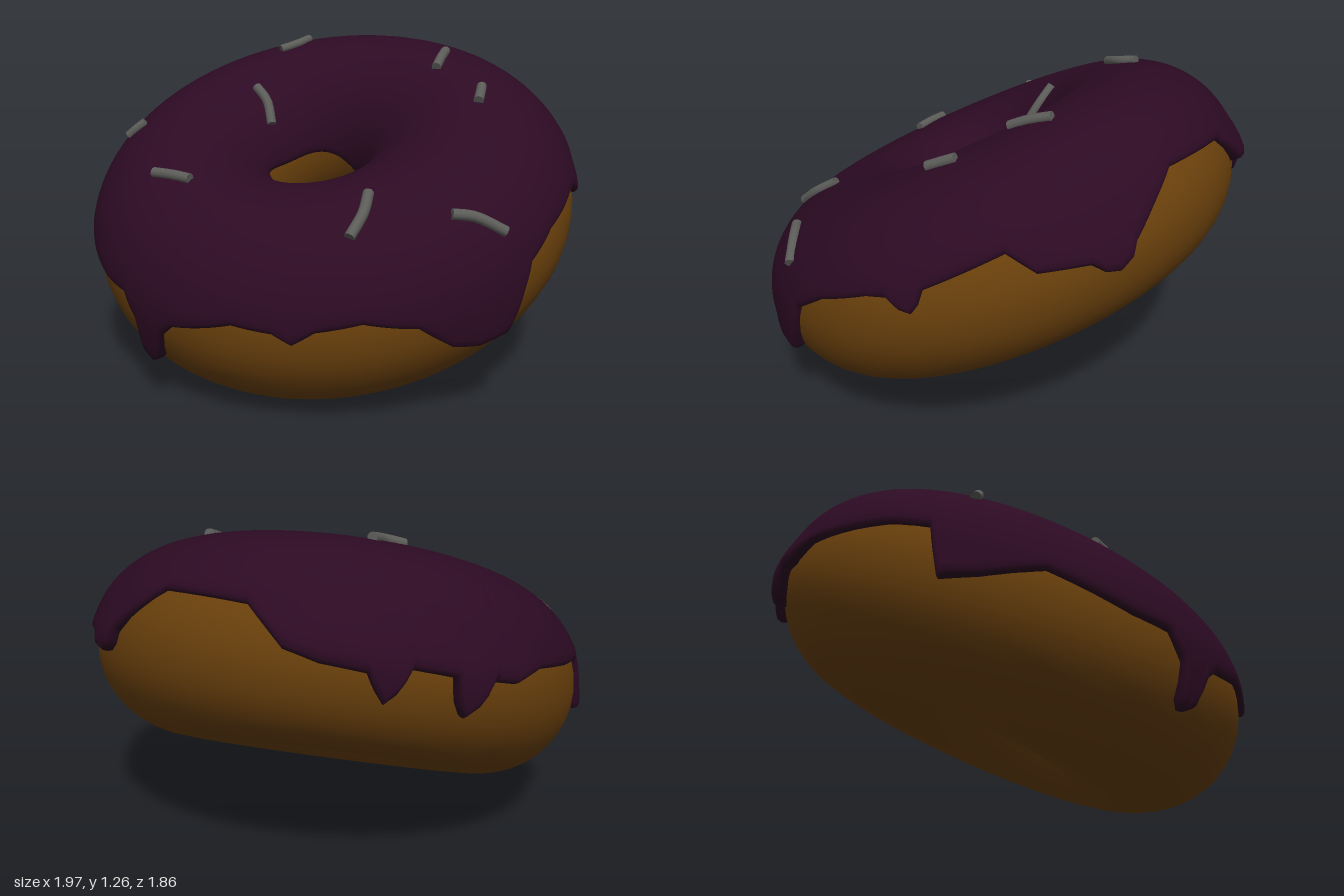
import * as THREE from 'three';
import { mergeGeometries } from 'three/addons/utils/BufferGeometryUtils.js';

const TILT = 0.445, CENTRE_Y = 0.615, HALF_HEIGHT = 0.365, GLAZE = 0.026;
const RAD = Math.PI / 180;

// Ring section at angle phi: middle radius c and half width a (hole slightly off centre)
function section(phi) {
  const outer = 0.967 - 0.02 * Math.cos(phi) - 0.011 * Math.sin(phi);
  const inner = 0.185 - 0.05 * Math.cos(phi) - 0.025 * Math.sin(phi);
  return { c: (outer + inner) / 2, a: (outer - inner) / 2 };
}

function ringPoint(phi, theta, offset) {
  const { c, a } = section(phi);
  const r = c + (a + offset) * Math.cos(theta);
  return [r * Math.cos(phi), (HALF_HEIGHT + offset) * Math.sin(theta), r * Math.sin(phi)];
}

// Surface closed around phi; rows run across the section
function ringSurface(nPhi, nRows, closedRows, point) {
  const pos = [], index = [];
  for (let i = 0; i < nPhi; i++) {
    const phi = (i / nPhi) * Math.PI * 2;
    for (let j = 0; j < nRows; j++) pos.push(...point(phi, j));
  }
  const id = (i, j) => (i % nPhi) * nRows + (j % nRows);
  for (let i = 0; i < nPhi; i++) {
    for (let j = 0; j < (closedRows ? nRows : nRows - 1); j++) {
      const a = id(i, j), b = id(i + 1, j), c = id(i + 1, j + 1), d = id(i, j + 1);
      index.push(a, d, b, b, d, c);
    }
  }
  const g = new THREE.BufferGeometry();
  g.setAttribute('position', new THREE.Float32BufferAttribute(pos, 3));
  g.setIndex(index);
  g.computeVertexNormals();
  return g;
}

// Height of the glaze's dripping outer edge: [degrees, height]
const EDGE = [
  [0, 0.11], [14, 0.125], [24, 0.1], [30, 0], [35, -0.075], [42, -0.06], [48, -0.01], [54, 0.1],
  [65, 0.16], [75, 0.155], [80, 0.12], [84, 0.155], [93, 0.17], [108, 0.11], [111, 0.06],
  [113, -0.06], [115, -0.085], [117, -0.06], [119, 0.06], [124, 0.13], [133, 0.11], [152, 0.11],
  [163, 0], [170, -0.05], [177, 0.12], [186, 0.1], [196, 0.05], [208, 0], [215, -0.07],
  [221, -0.08], [222.5, -0.16], [225, -0.2], [227.5, -0.16], [229, -0.09], [238, -0.09],
  [239.5, -0.16], [242, -0.2], [244.5, -0.16], [246, -0.12], [255, -0.11], [262, -0.08],
  [270, 0.05], [290, 0.09], [299, 0.01], [305, -0.05], [307, -0.09], [310, -0.11], [313, -0.09],
  [315, -0.05], [325, 0], [329, 0.095], [347, 0.08], [349, 0.04], [351, 0.02], [353, 0.04],
  [355, 0.09], [360, 0.11],
];
function edgeTheta(phi) {
  const d = phi / RAD;
  let k = 0;
  while (k < EDGE.length - 2 && EDGE[k + 1][0] <= d) k++;
  const [d0, h0] = EDGE[k], [d1, h1] = EDGE[k + 1];
  return Math.asin((h0 + ((h1 - h0) * (d - d0)) / (d1 - d0)) / HALF_HEIGHT);
}

// Rounded lip: share of lip width, share of thickness
const LIP = [[0, -0.4], [0.02, 0.3], [0.15, 0.65], [0.45, 0.9], [1, 1]];
const LIP_WIDTH = 0.11, MID = 28;
function glazePoint(phi, j) {
  const start = edgeTheta(phi);
  const end = Math.PI - 0.17 + 0.22 * Math.cos(phi + 0.35) + 0.05 * Math.sin(4 * phi);
  const rows = LIP.length * 2 + MID;
  let theta, share = 1;
  if (j < LIP.length) {
    theta = start + LIP[j][0] * LIP_WIDTH;
    share = LIP[j][1];
  } else if (j >= rows - LIP.length) {
    const lip = LIP[rows - 1 - j];
    theta = end - lip[0] * LIP_WIDTH;
    share = lip[1];
  } else {
    const t = (j - LIP.length + 1) / (MID + 1);
    theta = start + LIP_WIDTH + t * (end - start - 2 * LIP_WIDTH);
  }
  // Drips swell towards their tips
  const swell = 1 + THREE.MathUtils.clamp((0.12 - theta) / 0.35, 0, 1);
  return ringPoint(phi, theta, GLAZE * share * swell);
}

// Sprinkle paths as [x, y, z] before the tilt is taken out
const SPRINKLES = [
  [[-0.30, 1.26, -0.46], [-0.32, 1.23, -0.39], [-0.38, 1.20, -0.33]],
  [[0.36, 1.24, -0.36], [0.36, 1.20, -0.28], [0.36, 1.16, -0.21]],
  [[0.57, 1.11, -0.10], [0.575, 1.08, -0.06], [0.58, 1.05, 0.0]],
  [[-0.39, 1.06, -0.08], [-0.33, 1.01, -0.05], [-0.29, 0.93, 0.0]],
  [[-0.85, 0.88, 0.21], [-0.81, 0.90, 0.195], [-0.78, 0.92, 0.18]],
  [[-0.54, 0.77, 0.52], [-0.45, 0.775, 0.54], [-0.37, 0.78, 0.56]],
  [[0.32, 0.80, 0.57], [0.33, 0.75, 0.66], [0.31, 0.68, 0.74]],
  [[0.61, 0.77, 0.57], [0.68, 0.75, 0.53], [0.78, 0.71, 0.49]],
];
// Rest a point on top of the glaze
function onGlaze([x, y, z]) {
  const lz = z * Math.cos(TILT) - (y - CENTRE_Y) * Math.sin(TILT);
  const { c, a } = section(Math.atan2(lz, x));
  const u = (Math.hypot(x, lz) - c) / (a + GLAZE);
  const h = (HALF_HEIGHT + GLAZE) * Math.sqrt(Math.max(0, 1 - u * u));
  return new THREE.Vector3(x, h + 0.007, lz);
}
function sprinkleGeometry(points) {
  const curve = new THREE.CatmullRomCurve3(points.map(onGlaze));
  const caps = [0, 1].map((t) => {
    const dir = curve.getTangent(t).multiplyScalar(t ? 1 : -1);
    const q = new THREE.Quaternion().setFromUnitVectors(new THREE.Vector3(0, 0, 1), dir);
    const p = curve.getPoint(t);
    return new THREE.CircleGeometry(0.02, 10).applyQuaternion(q).translate(p.x, p.y, p.z);
  });
  return mergeGeometries([new THREE.TubeGeometry(curve, 8, 0.02, 10), ...caps]);
}

export function createModel() {
  const dough = new THREE.MeshStandardMaterial({ color: 0x6b410c });
  dough.name = 'brown dough';
  const icing = new THREE.MeshStandardMaterial({ color: 0x2c0a23 });
  icing.name = 'purple glaze';
  const sugar = new THREE.MeshStandardMaterial({ color: 0x5c5c59 });
  sugar.name = 'grey sprinkle';

  const model = new THREE.Group();
  model.name = 'doughnut';
  const ring = new THREE.Group();
  ring.name = 'tiltedRing';
  ring.position.y = CENTRE_Y;
  ring.rotation.x = TILT;
  model.add(ring);

  const add = (name, geometry, material) => {
    const mesh = new THREE.Mesh(geometry, material);
    mesh.name = name;
    ring.add(mesh);
  };
  add('dough', ringSurface(96, 40, true,
    (phi, j) => ringPoint(phi, (j / 40) * Math.PI * 2, 0)), dough);
  add('glaze', ringSurface(360, LIP.length * 2 + MID, false, glazePoint), icing);
  SPRINKLES.forEach((p, i) => add('sprinkle' + (i + 1), sprinkleGeometry(p), sugar));
  return model;
}
